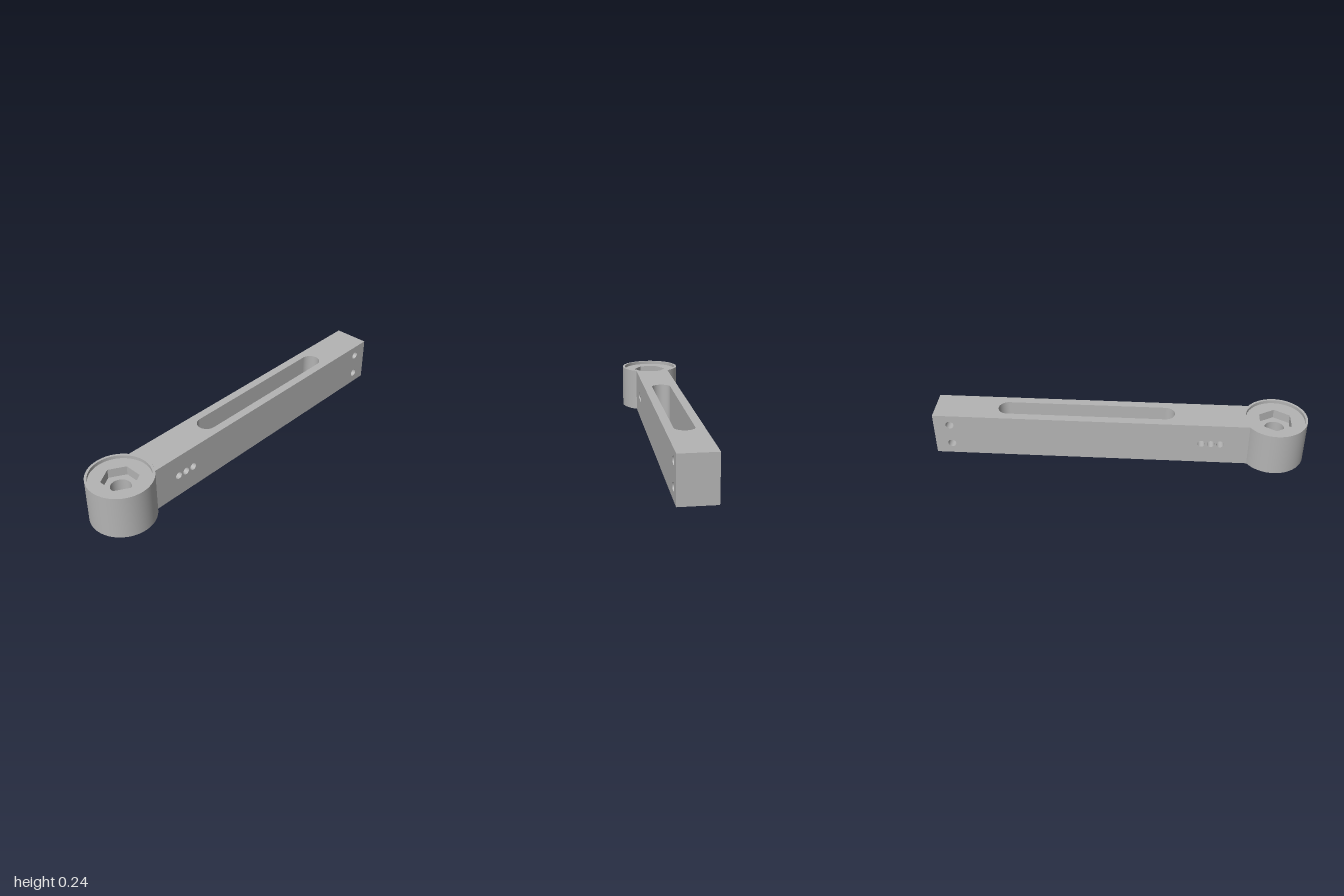
import * as THREE from 'three';

const H = 0.243;            // overall height
const HUB_X = -0.83, HUB_R = 0.17, LIP_R = 0.157, BORE_R = 0.053;
const HEX_R = 0.095, FLOOR_Y = H - 0.018, HEX_Y = FLOOR_Y - 0.05;
const BAR_Z = 0.097;        // half width of the bar
const SLOT = { x0: -0.243, x1: 0.605, r: 0.052 };
const SIDE_HOLES = [[-0.54, 0.123, 0.02], [-0.49, 0.123, 0.02], [-0.44, 0.123, 0.02],
  [0.912, 0.184, 0.022], [0.912, 0.062, 0.022]];

export function createModel() {
  const model = new THREE.Group();
  const grey = new THREE.MeshStandardMaterial({ color: 0xb4b4b4, side: THREE.DoubleSide });
  grey.name = 'grey metal';

  const hub = new THREE.Group();
  hub.name = 'hub';
  hub.position.x = HUB_X;
  const bar = new THREE.Group();
  bar.name = 'bar';
  model.add(hub, bar);

  const add = (parent, name, geometry, x = 0, y = 0, z = 0) => {
    const mesh = new THREE.Mesh(geometry, grey);
    mesh.name = name;
    mesh.position.set(x, y, z);
    parent.add(mesh);
    return mesh;
  };
  const circle = (r, x = 0, y = 0) => new THREE.Path().absarc(x, y, r, 0, Math.PI * 2, true);
  const hexPoints = () => Array.from({ length: 6 }, (_, i) => {
    const a = Math.PI / 2 + i * Math.PI / 3;
    return new THREE.Vector2(Math.cos(a) * HEX_R, Math.sin(a) * HEX_R);
  });
  // Horizontal plate, facing up or down
  const plate = (shape, up = true) =>
    new THREE.ShapeGeometry(shape, 32).rotateX(up ? -Math.PI / 2 : Math.PI / 2);
  // Open tube standing between two heights
  const tube = (r, y0, y1, sides = 48) =>
    new THREE.CylinderGeometry(r, r, y1 - y0, sides, 1, true).translate(0, (y0 + y1) / 2, 0);

  // Hub: outer wall, raised lip, recessed floor, hexagonal pocket and bore
  add(hub, 'hubWall', tube(HUB_R, 0, H, 72));
  add(hub, 'hubLip', new THREE.RingGeometry(LIP_R, HUB_R, 72).rotateX(-Math.PI / 2), 0, H);
  add(hub, 'recessWall', tube(LIP_R, FLOOR_Y, H, 72));
  const floor = new THREE.Shape().absarc(0, 0, LIP_R, 0, Math.PI * 2);
  floor.holes.push(new THREE.Path(hexPoints()));
  add(hub, 'recessFloor', plate(floor), 0, FLOOR_Y);
  const hexWall = tube(HEX_R, HEX_Y, FLOOR_Y, 6).toNonIndexed();
  hexWall.computeVertexNormals();
  add(hub, 'hexPocketWall', hexWall);
  const hexFloor = new THREE.Shape(hexPoints());
  hexFloor.holes.push(circle(BORE_R));
  add(hub, 'hexPocketFloor', plate(hexFloor), 0, HEX_Y);
  add(hub, 'bore', tube(BORE_R, 0, HEX_Y));
  add(hub, 'hubBase', new THREE.RingGeometry(BORE_R, HUB_R, 72).rotateX(Math.PI / 2));

  // Bar top and bottom: rounded slot, and an end hollowed to meet the hub
  const a = Math.asin(BAR_Z / HUB_R);
  const joinX = HUB_X + HUB_R * Math.cos(a);
  const top = new THREE.Shape();
  top.moveTo(joinX, -BAR_Z);
  top.lineTo(1, -BAR_Z);
  top.lineTo(1, BAR_Z);
  top.lineTo(joinX, BAR_Z);
  top.absarc(HUB_X, 0, HUB_R, a, -a, true);
  const slot = new THREE.Path();
  slot.absarc(SLOT.x1, 0, SLOT.r, -Math.PI / 2, Math.PI / 2);
  slot.absarc(SLOT.x0, 0, SLOT.r, Math.PI / 2, Math.PI * 1.5);
  slot.closePath();
  top.holes.push(slot);
  add(bar, 'barTop', plate(top), 0, H);
  add(bar, 'barBottom', plate(top, false));

  // Bar sides with cross holes
  const side = new THREE.Shape();
  side.moveTo(joinX, 0);
  side.lineTo(1, 0);
  side.lineTo(1, H);
  side.lineTo(joinX, H);
  side.closePath();
  for (const [x, y, r] of SIDE_HOLES) side.holes.push(circle(r, x, y));
  for (const s of [1, -1]) {
    const face = new THREE.ShapeGeometry(side, 16);
    if (s < 0) { // mirrored to the back, with the corner order reversed
      face.index.array.reverse();
      face.attributes.normal.array.forEach((n, i, arr) => { arr[i] = -n; });
    }
    add(bar, s > 0 ? 'barFront' : 'barBack', face, 0, 0, s * BAR_Z);

    // Straight slot wall and rounded slot end
    const wall = new THREE.PlaneGeometry(SLOT.x1 - SLOT.x0, H);
    if (s > 0) wall.rotateY(Math.PI);
    add(bar, 'slotWall', wall, (SLOT.x0 + SLOT.x1) / 2, H / 2, s * SLOT.r);
    const end = new THREE.CylinderGeometry(SLOT.r, SLOT.r, H, 24, 1, true, s > 0 ? 0 : Math.PI, Math.PI);
    add(bar, 'slotEnd', end, s > 0 ? SLOT.x1 : SLOT.x0, H / 2);
  }
  for (const [x, y, r] of SIDE_HOLES) {
    add(bar, 'crossHole', tube(r, -BAR_Z, BAR_Z, 32).rotateX(Math.PI / 2), x, y);
  }
  add(bar, 'barEnd', new THREE.PlaneGeometry(BAR_Z * 2, H).rotateY(Math.PI / 2), 1, H / 2);

  return model;
}
